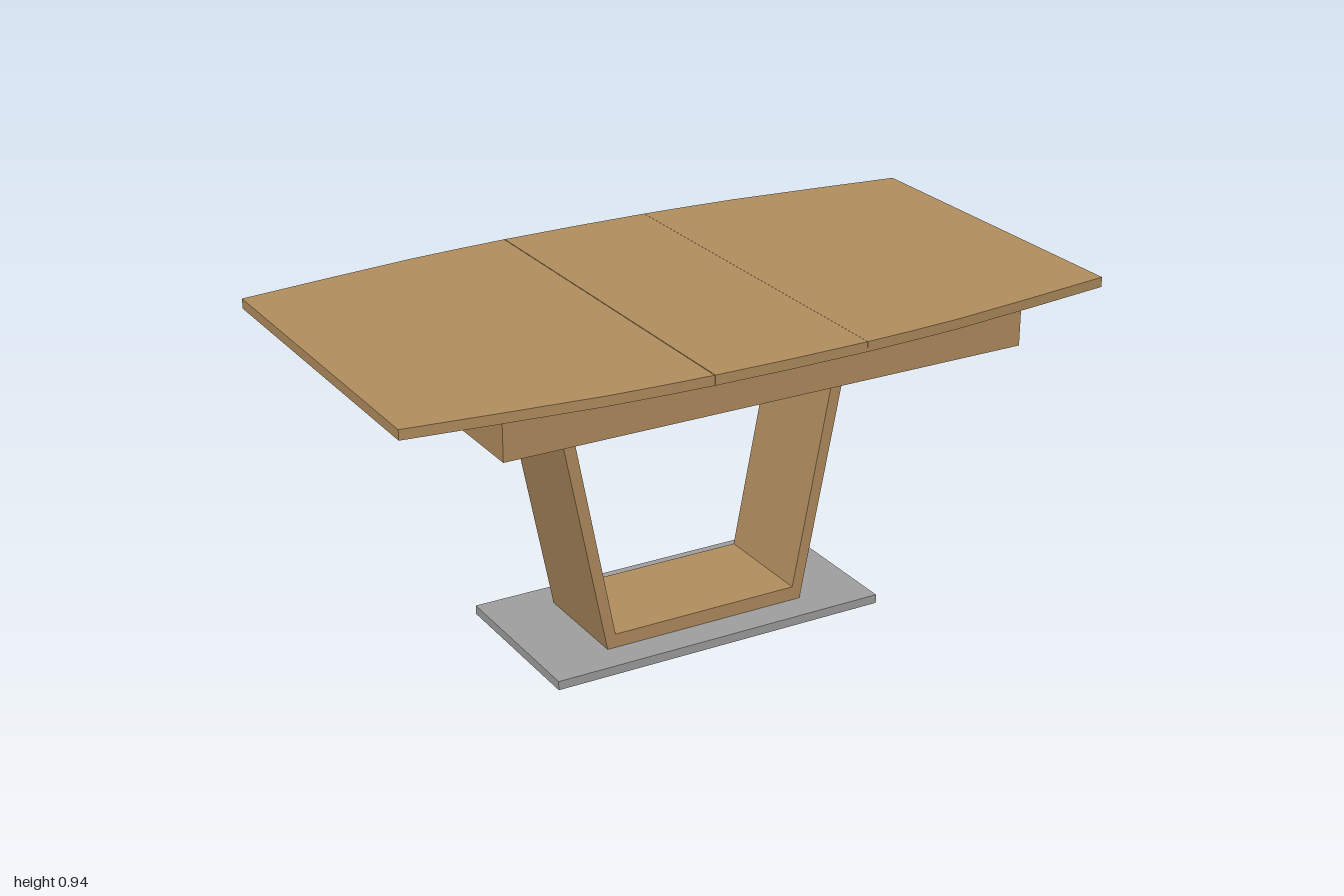
import * as THREE from 'three';

export function createModel() {
  const model = new THREE.Group();
  const wood = new THREE.MeshStandardMaterial({ name: 'oak wood', color: 0xb28e5f });
  const metal = new THREE.MeshStandardMaterial({ name: 'brushed grey metal', color: 0xa0a0a0 });

  const add = (name, geometry, material, x = 0, y = 0, z = 0) => {
    const mesh = new THREE.Mesh(geometry, material);
    mesh.name = name;
    mesh.position.set(x, y, z);
    model.add(mesh);
  };
  // Extrudes an outline of [x, y] points, centred on its depth
  const slab = (points, depth) => {
    const shape = new THREE.Shape(points.map(([x, y]) => new THREE.Vector2(x, y)));
    return new THREE.ExtrudeGeometry(shape, { depth, bevelEnabled: false }).translate(0, 0, -depth / 2);
  };

  // Table top: boat-shaped outline in three leaves, [x, half depth] from left to right
  const seam = 0.216;
  const leaves = {
    rightLeaf: [[-1, 0.483], [-0.75, 0.515], [-0.5, 0.544], [-0.35, 0.554], [-seam - 0.002, 0.56]],
    centreLeaf: [[-seam, 0.56], [0, 0.563], [seam, 0.56]],
    leftLeaf: [[seam + 0.0005, 0.56], [0.35, 0.554], [0.5, 0.544], [0.75, 0.515], [1, 0.483]],
  };
  for (const [name, edge] of Object.entries(leaves)) {
    const back = edge.map(([x, z]) => [x, -z]).reverse();
    const geometry = slab([...edge, ...back], 0.027).rotateX(-Math.PI / 2);
    add(name, geometry, wood, 0, 0.9235, 0);
  }

  // Apron frame: long rails cover the ends of the short ones
  for (const s of [-1, 1]) {
    add(s > 0 ? 'frontRail' : 'backRail', new THREE.BoxGeometry(1.482, 0.113, 0.028), wood, 0, 0.8535, s * 0.469);
    add(s > 0 ? 'leftRail' : 'rightRail', new THREE.BoxGeometry(0.028, 0.113, 0.91), wood, s * 0.727, 0.8535, 0);
  }
  add('apronPanel', new THREE.BoxGeometry(1.426, 0.03, 0.91), wood, 0, 0.81, 0);

  // Sloping legs, mitred into the foot board
  for (const s of [-1, 1]) {
    const leg = [[0.297, 0.033], [0.447, 0.797], [0.413, 0.797], [0.273, 0.072]].map(([x, y]) => [s * x, y]);
    add(s > 0 ? 'leftLeg' : 'rightLeg', slab(leg, 0.308), wood);
  }
  add('footBoard', slab([[-0.297, 0.033], [0.297, 0.033], [0.273, 0.072], [-0.273, 0.072]], 0.308), wood);

  // Base plate with a chamfered underside
  add('basePlate', new THREE.BoxGeometry(0.976, 0.025, 0.486), metal, 0, 0.0205, 0);
  const chamfer = new THREE.BoxGeometry(0.976, 0.008, 0.486);
  const p = chamfer.attributes.position;
  for (let i = 0; i < p.count; i++) {
    if (p.getY(i) < 0) {
      p.setX(i, p.getX(i) - Math.sign(p.getX(i)) * 0.02);
      p.setZ(i, p.getZ(i) - Math.sign(p.getZ(i)) * 0.02);
    }
  }
  const flat = chamfer.toNonIndexed();
  flat.computeVertexNormals();
  add('baseChamfer', flat, metal, 0, 0.004, 0);

  return model;
}
